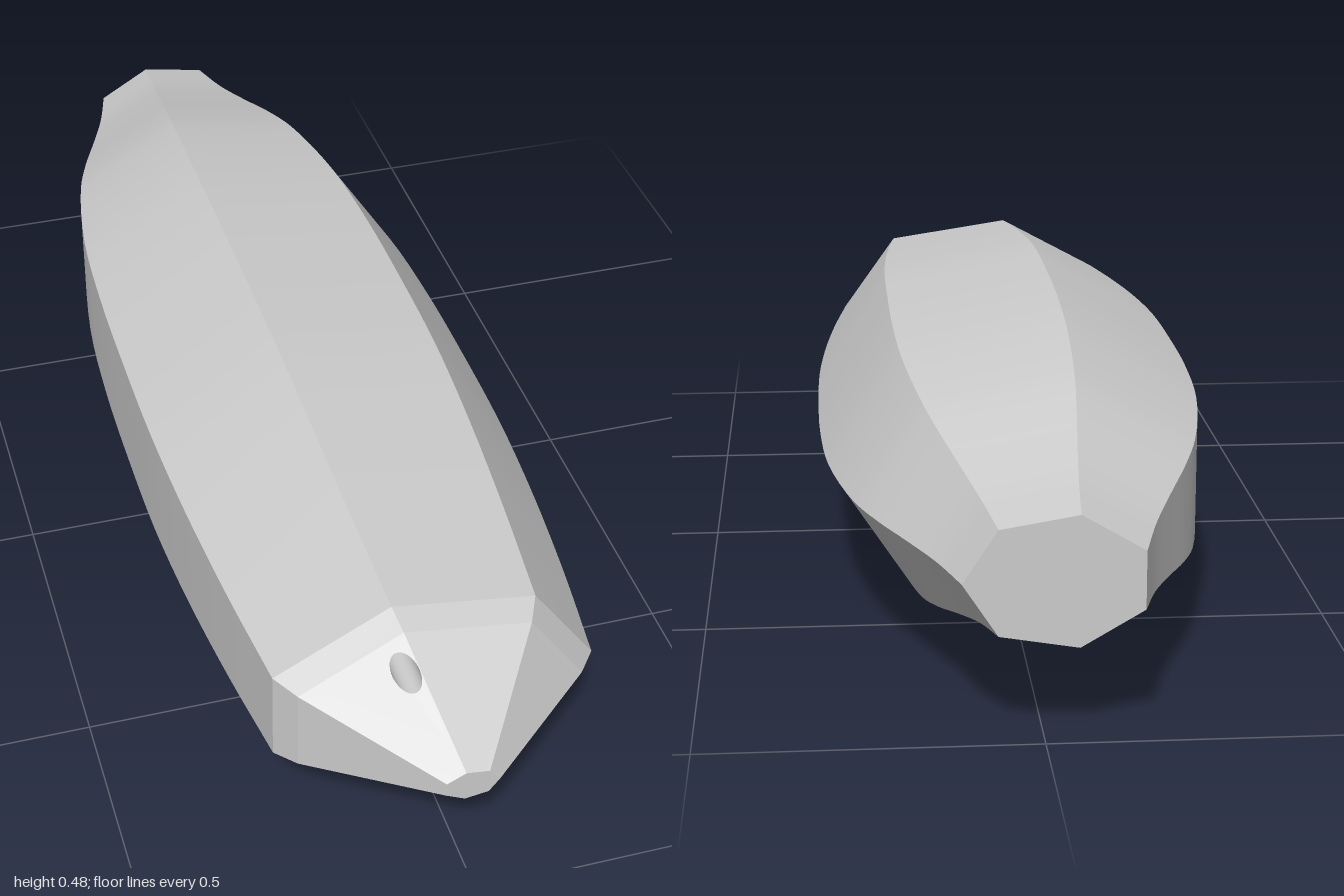
import * as THREE from 'three';

const SIDES = 7, CX = -0.0175, CY = 0.244;

// corner i of the seven-sided section with radii rx, ry at depth z
function corner(i, [z, rx, ry]) {
  const a = (i / SIDES) * Math.PI * 2;
  return new THREE.Vector3(CX + rx * Math.cos(a), CY + ry * Math.sin(a), z);
}

// one lengthwise strip of quads between two rows of points
function strip(rowA, rowB) {
  const pos = [], idx = [];
  rowA.forEach((p, j) => {
    pos.push(p.x, p.y, p.z, rowB[j].x, rowB[j].y, rowB[j].z);
    if (j) {
      const k = 2 * (j - 1);
      idx.push(k, k + 1, k + 3, k, k + 3, k + 2);
    }
  });
  const g = new THREE.BufferGeometry();
  g.setAttribute('position', new THREE.Float32BufferAttribute(pos, 3));
  g.setIndex(idx);
  g.computeVertexNormals();
  return g;
}

// distance of (x, y) from the line through a and b
function lineDistance(x, y, a, b) {
  return Math.abs((b.x - a.x) * (y - a.y) - (b.y - a.y) * (x - a.x)) / Math.hypot(b.x - a.x, b.y - a.y);
}

export function createModel() {
  const model = new THREE.Group();
  const mat = new THREE.MeshStandardMaterial({ color: 0xcccccc });
  const openMat = new THREE.MeshStandardMaterial({ color: 0xcccccc, side: THREE.DoubleSide });
  const add = (name, geo, material = mat, parent = model) => {
    const m = new THREE.Mesh(geo, material);
    m.name = name;
    parent.add(m);
    return m;
  };

  // body sections from back to front: z, x radius, y radius
  const keys = [
    [-1, 0.136, 0.1], [-0.9, 0.166, 0.12], [-0.8, 0.205, 0.148], [-0.7, 0.246, 0.179],
    [-0.6, 0.279, 0.204], [-0.4, 0.316, 0.232], [-0.2, 0.329, 0.2445], [0, 0.3314, 0.247],
    [0.2, 0.329, 0.2435], [0.4, 0.317, 0.227], [0.6, 0.297, 0.205], [0.785, 0.2725, 0.1836],
  ];
  const curve = new THREE.CatmullRomCurve3(keys.map(k => new THREE.Vector3(...k)));
  const rings = curve.getPoints(44).map(p => [p.x, p.y, p.z]);
  const rim = rings[rings.length - 1];
  const shoulder = [0.825, 0.241, 0.165];
  const tip = [1, 0.0437, 0.0277];

  // round hole in the upper nose facet
  const HOLE_FACET = 2, HOLE_FLOOR = 0.8;
  const hx = -0.08, hy = 0.363, hr = 0.0205;
  const circle = [];
  for (let k = 0; k < 32; k++) {
    const a = (k / 32) * Math.PI * 2;
    circle.push(new THREE.Vector2(hx + hr * Math.cos(a), hy + hr * Math.sin(a)));
  }

  const body = new THREE.Group();
  body.name = 'body';
  const nose = new THREE.Group();
  nose.name = 'nose';
  model.add(body, nose);

  for (let i = 0; i < SIDES; i++) {
    // long panels, smooth lengthwise with sharp ridges between them
    add('bodyPanel', strip(rings.map(r => corner(i, r)), rings.map(r => corner(i + 1, r))), mat, body);
    add('noseShoulder', strip([rim, shoulder].map(r => corner(i, r)),
      [rim, shoulder].map(r => corner(i + 1, r))), mat, nose);
    const a = corner(i, shoulder), b = corner(i + 1, shoulder);
    const c = corner(i + 1, tip), d = corner(i, tip);
    if (i !== HOLE_FACET) {
      add('noseFacet', strip([a, d], [b, c]), mat, nose);
      continue;
    }
    // facet with the hole cut through it, lifted onto the nose slope
    const slopeZ = (x, y) => {
      const outer = lineDistance(x, y, a, b), inner = lineDistance(x, y, c, d);
      return THREE.MathUtils.lerp(shoulder[0], tip[0], outer / (outer + inner));
    };
    const shape = new THREE.Shape([a, b, c, d].map(p => new THREE.Vector2(p.x, p.y)));
    shape.holes.push(new THREE.Path(circle));
    const facet = new THREE.ShapeGeometry(shape);
    const p = facet.attributes.position;
    for (let k = 0; k < p.count; k++) p.setZ(k, slopeZ(p.getX(k), p.getY(k)));
    facet.computeVertexNormals();
    add('noseFacetWithHole', facet, mat, nose);

    const loop = [...circle, circle[0]];
    add('holeWall', strip(loop.map(q => new THREE.Vector3(q.x, q.y, slopeZ(q.x, q.y))),
      loop.map(q => new THREE.Vector3(q.x, q.y, HOLE_FLOOR))), openMat, nose);
    add('holeFloor', new THREE.CircleGeometry(hr, 32), mat, nose).position.set(hx, hy, HOLE_FLOOR);
  }

  // flat end faces
  const endFace = (name, ring, facing) => {
    const pts = Array.from({ length: SIDES }, (_, i) => {
      const v = corner(i, ring);
      return new THREE.Vector2(v.x * facing, v.y);
    });
    const m = add(name, new THREE.ShapeGeometry(new THREE.Shape(pts)));
    m.position.z = ring[0];
    if (facing < 0) m.rotation.y = Math.PI;
  };
  endFace('noseTip', tip, 1);
  endFace('backFace', rings[0], -1);

  return model;
}
